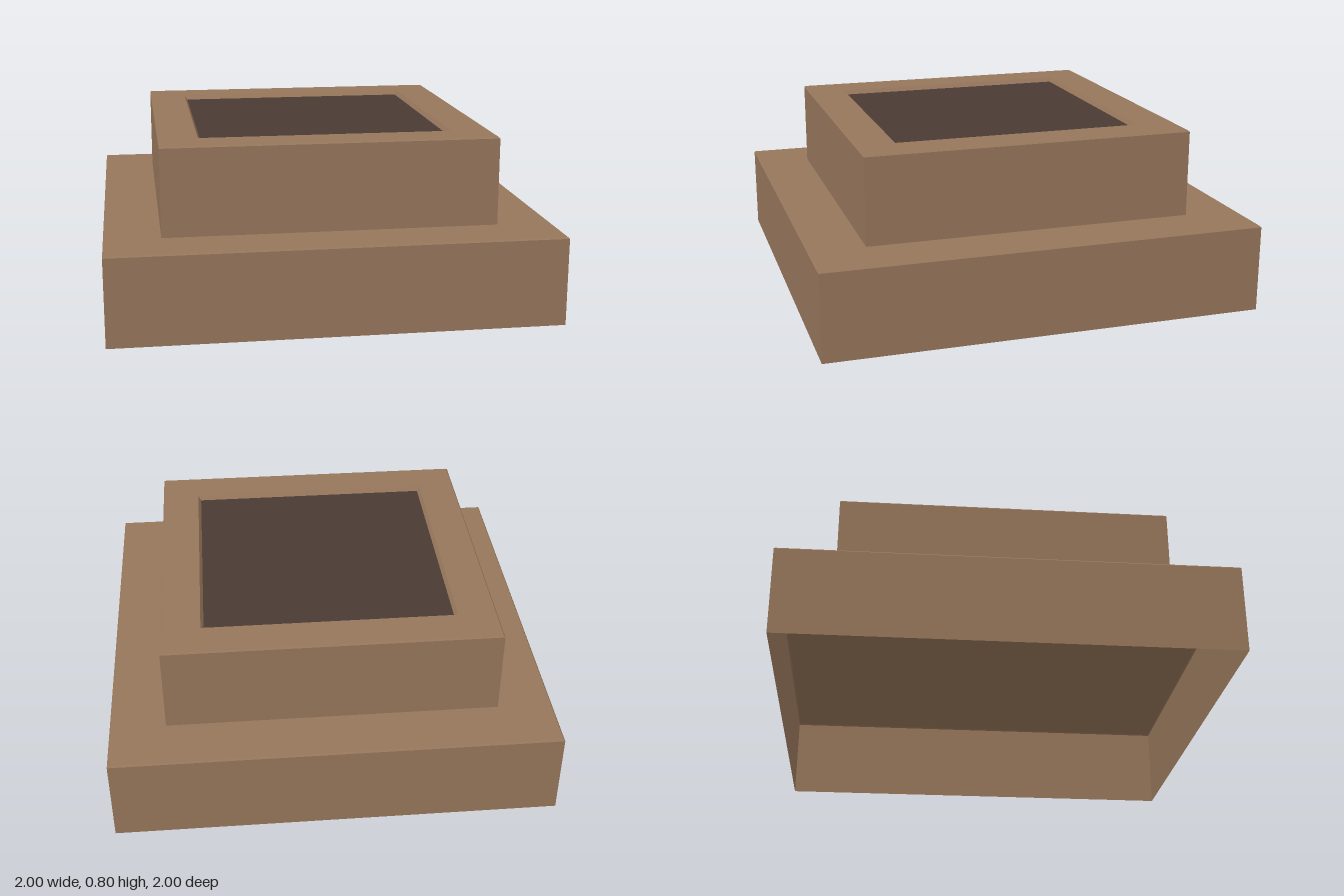
import * as THREE from 'three';

// Square tier: a profile of [half width, height] swept around four flat sides.
function squareTier(name, profile, material) {
  const points = profile.map(([half, y]) => new THREE.Vector2(half * Math.SQRT2, y));
  const geometry = new THREE.LatheGeometry(points, 4, Math.PI / 4).toNonIndexed();
  geometry.computeVertexNormals();
  const mesh = new THREE.Mesh(geometry, material);
  mesh.name = name;
  return mesh;
}

export function createModel() {
  const group = new THREE.Group();
  group.name = 'steppedPedestal';

  const brown = new THREE.MeshStandardMaterial({ color: 0x96765b, side: THREE.DoubleSide });
  brown.name = 'brown';
  const dark = new THREE.MeshStandardMaterial({ color: 0x4a3b34, side: THREE.DoubleSide });
  dark.name = 'darkBrown';

  const bevel = 0.006;

  // Lower tier: hollow shell, open underneath, with a closed top
  group.add(squareTier('baseTier', [
    [1, 0], [1, 0.4 - bevel], [1 - bevel, 0.4], [0, 0.4],
  ], brown));

  // Upper tier: walls, flat rim and the sloping edge of the recess
  group.add(squareTier('upperTier', [
    [0.75, 0.4], [0.75, 0.8 - bevel], [0.75 - bevel, 0.8], [0.573, 0.8], [0.56, 0.78],
  ], brown));

  // Dark floor of the recess
  const panel = new THREE.Mesh(new THREE.PlaneGeometry(1.12, 1.12).rotateX(-Math.PI / 2), dark);
  panel.name = 'recessPanel';
  panel.position.y = 0.78;
  group.add(panel);

  return group;
}
